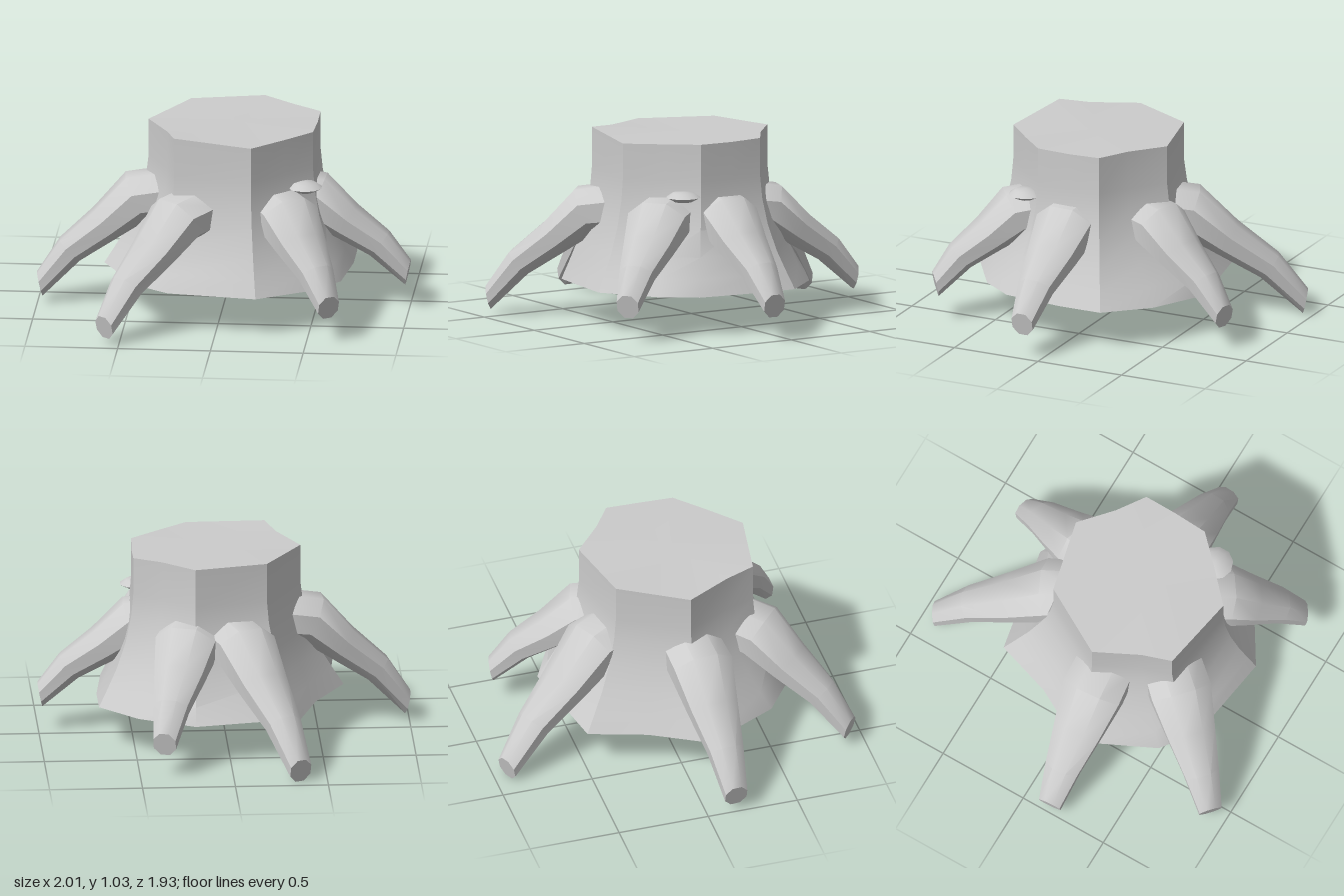
import * as THREE from 'three';
import { toCreasedNormals } from 'three/addons/utils/BufferGeometryUtils.js';

// Skin a list of rings (arrays of Vector3, anticlockwise seen from the far end).
function loft(rings, capStart, capEnd, crease) {
  const n = rings[0].length, pos = [], idx = [];
  const add = v => pos.push(v.x, v.y, v.z) / 3 - 1;
  rings.forEach(r => r.forEach(add));
  for (let i = 0; i < rings.length - 1; i++) {
    for (let j = 0; j < n; j++) {
      const a = i * n + j, b = i * n + (j + 1) % n;
      idx.push(a, b, b + n, a, b + n, a + n);
    }
  }
  const cap = (row, flip) => {
    const c = new THREE.Vector3();
    rings[row].forEach(v => c.addScaledVector(v, 1 / n));
    const m = add(c);
    for (let j = 0; j < n; j++) {
      const a = row * n + j, b = row * n + (j + 1) % n;
      idx.push(...(flip ? [m, b, a] : [m, a, b]));
    }
  };
  if (capStart) cap(0, true);
  if (capEnd) cap(rings.length - 1, false);
  const g = new THREE.BufferGeometry();
  g.setAttribute('position', new THREE.Float32BufferAttribute(pos, 3));
  g.setIndex(idx);
  return toCreasedNormals(g, crease);
}

// Trunk corners as [rim x, rim z, skirt x, skirt z, rim height]
const CORNERS = [
  [-0.21, -0.28, -0.38, -0.49, 1.03],
  [-0.31, -0.10, -0.48, -0.18, 1.025],
  [-0.41, 0.08, -0.645, 0.12, 1.02],
  [-0.29, 0.32, -0.45, 0.52, 1.025],
  [-0.24, 0.48, -0.26, 0.66, 1.035],
  [0.18, 0.55, 0.22, 0.73, 1.01],
  [0.35, 0.39, 0.52, 0.54, 1.015],
  [0.49, 0.25, 0.65, 0.36, 1.02],
  [0.50, 0.06, 0.69, 0.02, 1.02],
  [0.50, -0.12, 0.69, -0.22, 1.025],
  [0.35, -0.22, 0.49, -0.44, 1.03],
  [0.18, -0.37, 0.19, -0.60, 1.03],
];
// Flare of the trunk wall as [height, share of skirt outline]
const FLARE = [[0.22, 1], [0.31, 0.76], [0.42, 0.48], [0.56, 0.22], [0.7, 0.06], [0.82, 0], [null, 0]];

function trunkGeometry() {
  const rings = FLARE.map(([y, t]) => CORNERS.map(([x, z, bx, bz, top]) =>
    new THREE.Vector3(x + (bx - x) * t, y ?? top, z + (bz - z) * t)));
  return loft(rings, false, true, 0.6);
}

// Root stations as [run, drop, half width, half thickness]
const STATIONS = [
  [0, 0, 0.165, 0.135],
  [0.25, 0.04, 0.172, 0.135],
  [0.49, 0.33, 0.138, 0.1],
  [0.765, 0.62, 0.098, 0.08],
  [1, 1, 0.064, 0.066],
];

function rootGeometry(start, tip) {
  const side = new THREE.Vector3(start.z - tip.z, 0, tip.x - start.x).normalize();
  const path = STATIONS.map(([s, f]) => new THREE.Vector3(
    THREE.MathUtils.lerp(start.x, tip.x, s),
    THREE.MathUtils.lerp(start.y, tip.y, f),
    THREE.MathUtils.lerp(start.z, tip.z, s)));
  const last = path.length - 1;
  const rings = path.map((p, i) => {
    const dir = path[Math.min(i + 1, last)].clone().sub(path[Math.max(i - 1, 0)]);
    if (i === last) dir.y *= 0.2; // the tip is cut nearly upright
    const up = new THREE.Vector3().crossVectors(side, dir.normalize());
    const [, , w, h] = STATIONS[i];
    return Array.from({ length: 8 }, (_, k) => {
      const a = -(k + 0.5) / 8 * Math.PI * 2;
      return p.clone().addScaledVector(side, Math.cos(a) * w * 1.04)
        .addScaledVector(up, Math.sin(a) * h * 1.04);
    });
  });
  return loft(rings, true, true, 0.7);
}

// Root name, start and tip
const ROOTS = [
  ['rightRoot', [-0.3, 0.62, 0.11], [-0.99, 0.105, 0.16]],
  ['leftRoot', [0.33, 0.62, 0.075], [0.99, 0.2, 0.1]],
  ['frontRightRoot', [-0.11, 0.61, 0.39], [-0.58, 0.1, 0.92]],
  ['frontLeftRoot', [0.29, 0.61, 0.33], [0.62, 0.205, 0.8]],
  ['backRightRoot', [0, 0.61, -0.19], [-0.355, 0.07, -0.935]],
  ['backLeftRoot', [0.18, 0.61, -0.2], [0.37, 0.19, -0.805]],
];

export function createModel() {
  const bark = new THREE.MeshStandardMaterial({ color: 0xcccccc, side: THREE.DoubleSide });
  bark.name = 'grey bark';
  const group = new THREE.Group();
  group.name = 'treeStump';
  const add = (name, geometry) => {
    const mesh = new THREE.Mesh(geometry, bark);
    mesh.name = name;
    group.add(mesh);
    return mesh;
  };

  add('trunk', trunkGeometry());
  for (const [name, start, tip] of ROOTS) {
    add(name, rootGeometry(new THREE.Vector3(...start), new THREE.Vector3(...tip)));
  }

  // Small shelf fungus on the trunk wall
  const profile = [[0, -0.026], [0.05, -0.024], [0.094, 0], [0.06, 0.024], [0, 0.03]]
    .map(([r, y]) => new THREE.Vector2(r, y));
  add('fungus', toCreasedNormals(new THREE.LatheGeometry(profile, 10), 0.7))
    .position.set(0.455, 0.738, 0.34);
  return group;
}
